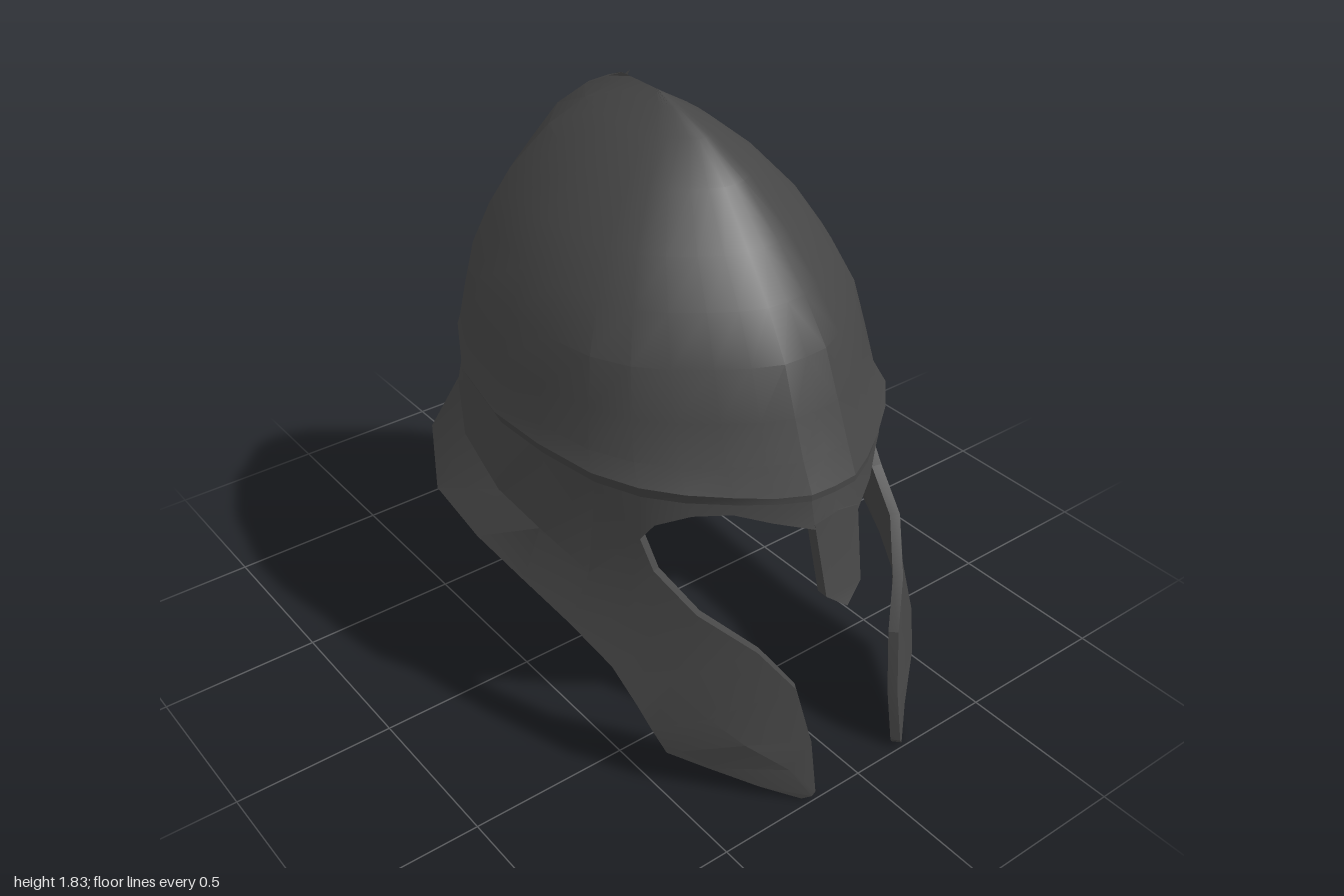
import * as THREE from 'three';
import { mergeVertices, toCreasedNormals } from 'three/addons/utils/BufferGeometryUtils.js';

const darkIron = new THREE.MeshStandardMaterial({ color: 0x464646 });
const THICKNESS = 0.03;

// Triangles of a grid of columns (back to front, each listed top to bottom), plus its mirror image
function mirroredGrid(columns) {
  const out = [];
  const triangle = (p, q, r) => {
    const area = new THREE.Triangle(...[p, q, r].map((v) => new THREE.Vector3(...v))).getArea();
    if (area < 1e-6) return;
    out.push(...p, ...q, ...r);
    for (const v of [p, r, q]) out.push(-v[0], v[1], v[2]);
  };
  for (let i = 0; i < columns.length - 1; i++) {
    for (let j = 0; j < columns[i].length - 1; j++) {
      const a = columns[i][j + 1], b = columns[i][j];
      const c = columns[i + 1][j], d = columns[i + 1][j + 1];
      triangle(a, b, c);
      triangle(a, c, d);
    }
  }
  return out;
}

// Gives an open surface an inner wall and closes its open edges
function thicken(positions) {
  let geo = new THREE.BufferGeometry();
  geo.setAttribute('position', new THREE.Float32BufferAttribute(positions, 3));
  geo = mergeVertices(geo, 1e-4);
  geo.computeVertexNormals();
  const pos = geo.attributes.position, nor = geo.attributes.normal;
  const n = pos.count, idx = Array.from(geo.index.array);
  const verts = Array.from(pos.array);
  for (let i = 0; i < n * 3; i++) verts.push(pos.array[i] - nor.array[i] * THICKNESS);
  const faces = [...idx], edges = new Set();
  for (let k = 0; k < idx.length; k += 3) {
    const [a, b, c] = idx.slice(k, k + 3);
    faces.push(a + n, c + n, b + n);
    for (const [p, q] of [[a, b], [b, c], [c, a]]) edges.add(p + '_' + q);
  }
  for (const e of edges) {
    const [p, q] = e.split('_').map(Number);
    if (!edges.has(q + '_' + p)) faces.push(q, p, p + n, q, p + n, q + n);
  }
  const shell = new THREE.BufferGeometry();
  shell.setAttribute('position', new THREE.Float32BufferAttribute(verts, 3));
  shell.setIndex(faces);
  return toCreasedNormals(shell, 0.35);
}

// Half outline of the bowl's foot, from the back to the front: x, z
const foot = [
  [0, -0.71], [0.1, -0.685], [0.37, -0.48], [0.495, -0.25], [0.545, 0], [0.535, 0.2], [0.5, 0.4],
  [0.44, 0.53], [0.36, 0.625], [0.26, 0.71], [0.17, 0.775], [0.08, 0.82], [0, 0.825],
];
const groove = foot.map(([x, z]) => [x, 0.925 - 0.02 * z, z]);

// Bowl levels: height, half width, front reach, back reach
const levels = [
  [1.825, 0, 0.03, 0.14], [1.8, 0.04, 0.12, 0.2], [1.75, 0.125, 0.24, 0.3], [1.66, 0.235, 0.37, 0.42],
  [1.52, 0.365, 0.5, 0.535], [1.4, 0.44, 0.6, 0.605], [1.27, 0.502, 0.685, 0.66],
  [1.13, 0.53, 0.74, 0.7], [1.015, 0.55, 0.785, 0.73],
];

function domeColumns() {
  return foot.map(([x, z], i) => {
    const column = levels.map(([y, w, front, back]) =>
      [x * w / 0.545, y, z > 0 ? z * front / 0.825 : z * back / 0.71]);
    // Raised band that fades out over the brow
    const fade = THREE.MathUtils.clamp((10 - i) / 3, 0, 1);
    const s = 1 + 0.042 * fade;
    const rise = 0.02 + 0.025 * fade;
    column.push([x * s, groove[i][1] + rise, z * (1 + 0.03 * fade)], groove[i]);
    return column;
  });
}

// Flared neck guard running into the cheek pieces: top, crease, lower edge
const neckLower = [
  [[0, 0.78, -0.83], [0, 0.61, -1]],
  [[0.11, 0.79, -0.74], [0.13, 0.64, -0.84]],
  [[0.4, 0.78, -0.49], [0.485, 0.62, -0.53]],
  [[0.525, 0.75, -0.25], [0.635, 0.595, -0.25]],
  [[0.568, 0.7, 0], [0.65, 0.565, 0]],
  [[0.558, 0.67, 0.2], [0.62, 0.51, 0.2]],
  [[0.52, 0.61, 0.39], [0.585, 0.45, 0.38]],
];
const cheek = [
  [[0.44, 0.77, 0.525], [0.49, 0.53, 0.53], [0.545, 0.37, 0.53]],
  [[0.435, 0.69, 0.58], [0.47, 0.46, 0.61], [0.525, 0.28, 0.62]],
  [[0.39, 0.6, 0.715], [0.45, 0.38, 0.69], [0.5, 0.2, 0.655]],
  [[0.28, 0.5, 0.85], [0.4, 0.28, 0.79], [0.475, 0.125, 0.695]],
  [[0.2, 0.38, 0.925], [0.33, 0.2, 0.87], [0.39, 0.08, 0.78]],
  [[0.17, 0.2, 0.97], [0.23, 0.11, 0.95], [0.29, 0.035, 0.89]],
  [[0.17, 0.03, 1], [0.18, 0.015, 0.997], [0.2, 0, 0.975]],
];

// Lower edge of the brow, arching over the eye to the middle
const browEdge = [
  cheek[0][0], [0.42, 0.83, 0.565], [0.35, 0.872, 0.64], [0.265, 0.88, 0.71],
  [0.18, 0.855, 0.78], [0.08, 0.825, 0.84], [0, 0.83, 0.85],
];

function noseGuardGeometry() {
  const shape = new THREE.Shape([[0, 0.86], [-0.08, 0.84], [-0.065, 0.615], [0, 0.565], [0.065, 0.615], [0.08, 0.84]]
    .map(([x, y]) => new THREE.Vector2(x, y)));
  const geo = new THREE.ExtrudeGeometry(shape, { depth: 0.035, bevelEnabled: false });
  // Lean the plate forward and fold it slightly along its middle
  const p = geo.attributes.position;
  for (let i = 0; i < p.count; i++) {
    p.setZ(i, p.getZ(i) + 0.815 + (0.84 - p.getY(i)) * 0.2 - Math.abs(p.getX(i)) * 0.15);
  }
  return toCreasedNormals(geo, 0.35);
}

export function createModel() {
  const helmet = new THREE.Group();
  helmet.name = 'helmet';
  const add = (name, geometry) => {
    const mesh = new THREE.Mesh(geometry, darkIron);
    mesh.name = name;
    helmet.add(mesh);
  };
  add('dome', thicken(mirroredGrid(domeColumns())));

  const sideColumns = [...neckLower.map((lower, i) => [groove[i], ...lower]), ...cheek];
  const browColumns = browEdge.map((p, i) => [groove[i + 6], p]);
  add('neckGuardCheeksAndBrow', thicken([...mirroredGrid(sideColumns), ...mirroredGrid(browColumns)]));

  add('noseGuard', noseGuardGeometry());
  return helmet;
}
